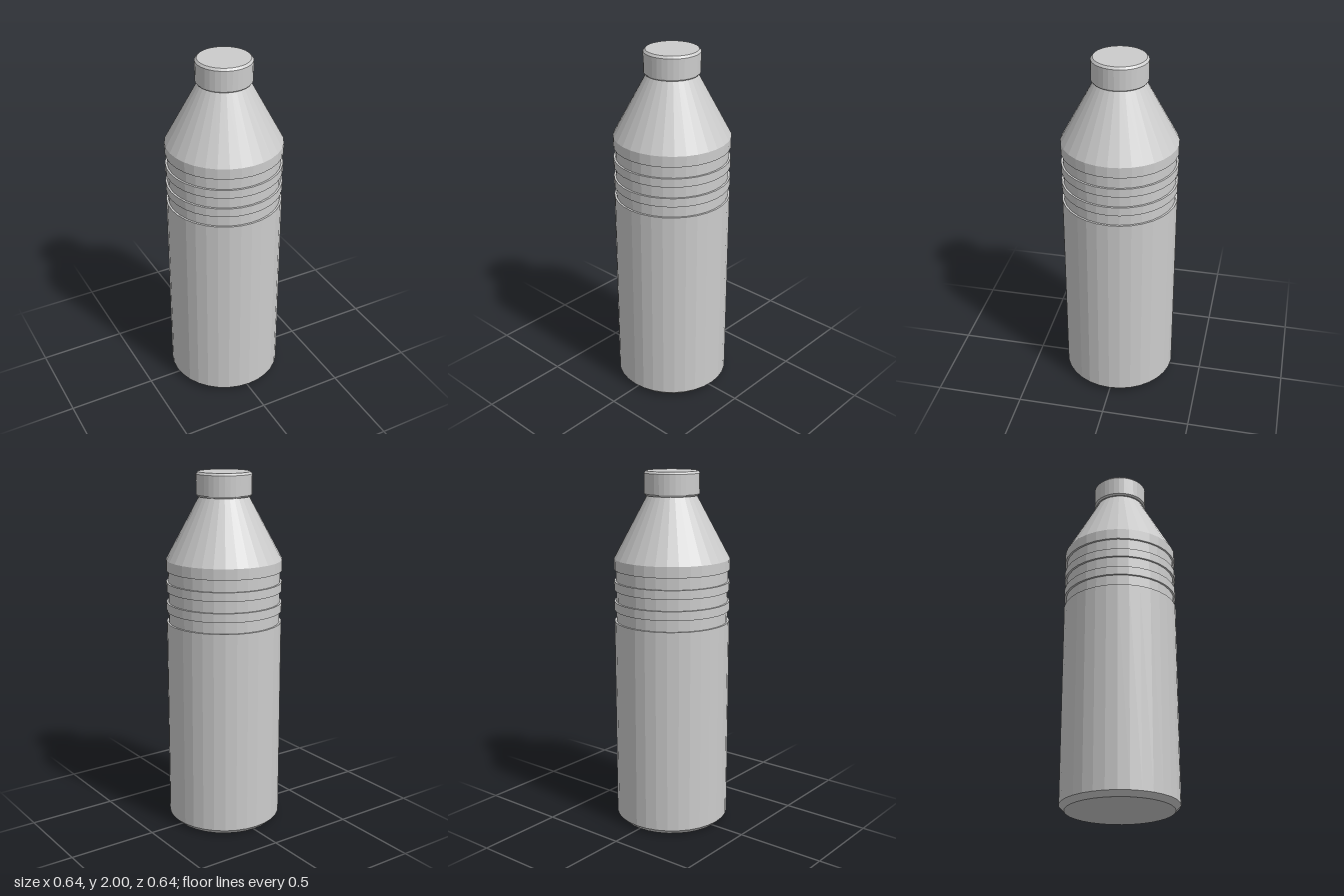
import * as THREE from 'three';

const SIDES = 32;

export function createModel() {
  const bottle = new THREE.Group();
  bottle.name = 'bottle';
  const grey = new THREE.MeshStandardMaterial({ color: 0xcccccc, flatShading: true });
  grey.name = 'light grey';

  // Turns a bottom-to-top [radius, height] profile around the y axis
  const turn = (name, profile) => {
    const points = profile.map(([r, y]) => new THREE.Vector2(r, y));
    const mesh = new THREE.Mesh(new THREE.LatheGeometry(points, SIDES), grey);
    mesh.name = name;
    bottle.add(mesh);
  };

  const R = 0.322; // outer radius
  const G = 0.311; // groove radius

  // Body: bevelled base, straight wall, three grip grooves, shoulder
  const body = [[0, 0], [0.294, 0], [R, 0.028]];
  for (const [low, high] of [[1.174, 1.237], [1.287, 1.351], [1.4, 1.465]]) {
    body.push([R, low], [G, low], [G, high], [R, high]);
  }
  body.push([R, 1.525], [0.138, 1.866], [0.138, 1.88]);
  turn('body', body);

  // Cap with bevelled rims
  turn('cap', [[0, 1.868], [0.145, 1.868], [0.153, 1.878], [0.153, 1.988], [0.142, 2], [0, 2]]);

  return bottle;
}
